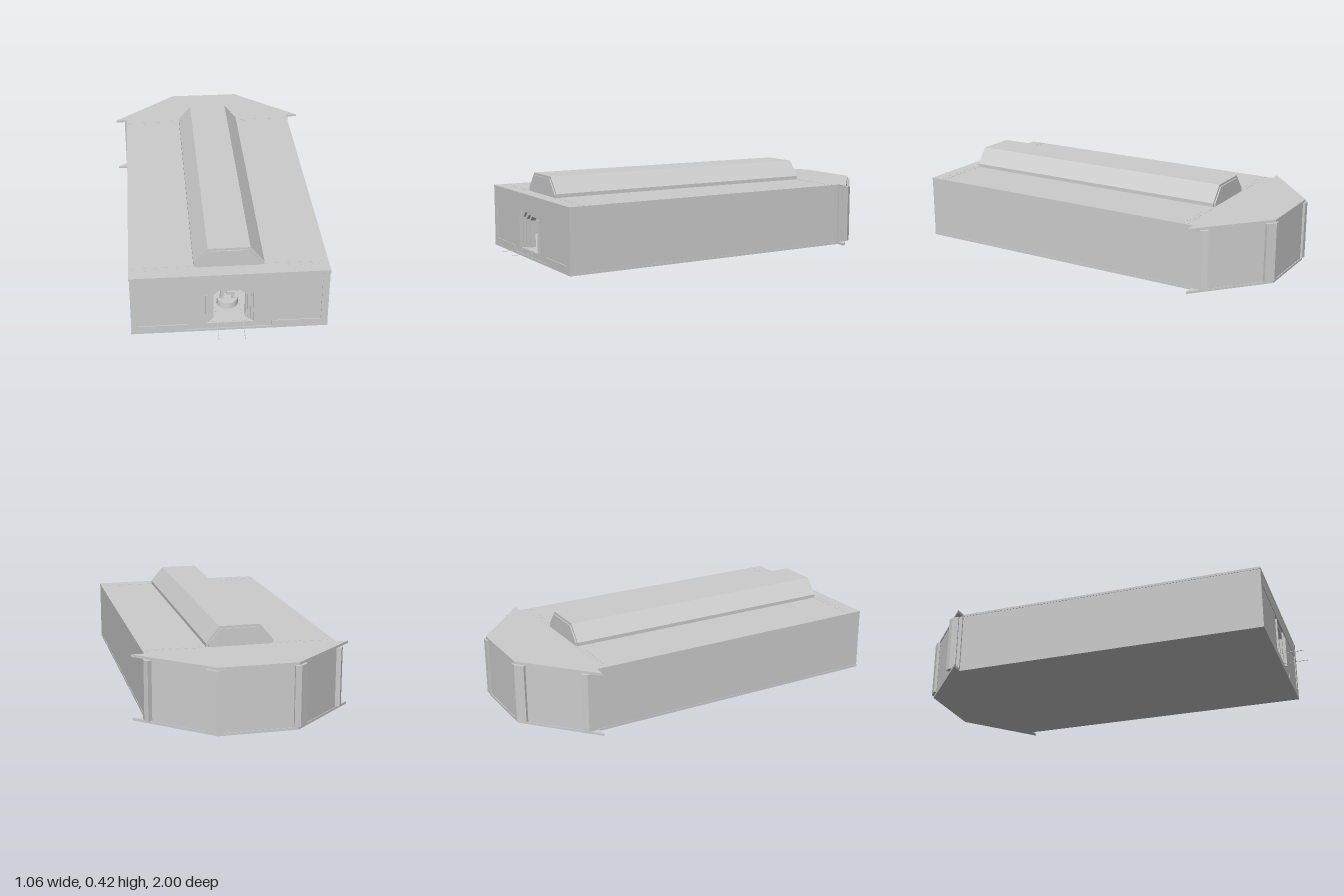
import * as THREE from 'three';

const grey = new THREE.MeshStandardMaterial({ color: 0xcccccc });
grey.name = 'light grey';

export function createModel() {
  const root = new THREE.Group();
  root.name = 'hall';

  const add = (name, geo, x = 0, y = 0, z = 0) => {
    const m = new THREE.Mesh(geo, grey);
    m.name = name;
    m.position.set(x, y, z);
    root.add(m);
    return m;
  };
  // Box given by its limits
  const box = (name, x0, x1, y0, y1, z0, z1) =>
    add(name, new THREE.BoxGeometry(x1 - x0, y1 - y0, z1 - z0), (x0 + x1) / 2, (y0 + y1) / 2, (z0 + z1) / 2);
  const pts = (list) => list.map(([a, b]) => new THREE.Vector2(a, b));
  // Right half of an outline, mirrored into a closed loop
  const sym = (half) => pts([...half, ...half.map(([x, y]) => [-x, y]).reverse()]);
  // Upright profile in x,y drawn out from z0 to z1, with an optional opening
  const alongZ = (name, outer, z0, z1, hole) => {
    const s = new THREE.Shape(outer);
    if (hole) s.holes.push(new THREE.Path(hole));
    return add(name, new THREE.ExtrudeGeometry(s, { depth: z1 - z0, bevelEnabled: false }), 0, 0, z0);
  };
  // Plan outline in x,z raised from y0 to y1
  const upright = (name, plan, y0, y1) => {
    const s = new THREE.Shape(plan.map((p) => new THREE.Vector2(p.x, -p.y)));
    const g = new THREE.ExtrudeGeometry(s, { depth: y1 - y0, bevelEnabled: false });
    return add(name, g.rotateX(-Math.PI / 2), 0, y0, 0);
  };

  // Floor and roof plates with the flared, angled rear end
  const plate = sym([[0.47, 0.88], [0.47, -0.695], [0.53, -0.695], [0.19, -0.992]]);
  upright('floorPlate', plate, 0, 0.012);
  upright('roofPlate', plate, 0.31, 0.322);
  box('hallFloor', -0.45, 0.45, 0.012, 0.04, -0.68, 0.87);

  // Long side walls and faceted rear wall
  for (const s of [-1, 1]) {
    box('sideWall', Math.min(s * 0.45, s * 0.468), Math.max(s * 0.45, s * 0.468), 0.012, 0.31, -0.7, 0.88);
    const mir = (list) => pts(list.map(([x, z]) => [s * x, z]));
    upright('sideCornerPost', mir([[0.45, -0.715], [0.483, -0.715], [0.483, -0.75], [0.468, -0.775], [0.445, -0.76]]), 0.015, 0.308);
    upright('sideRib', mir([[0.45, -0.695], [0.476, -0.695], [0.476, -0.72], [0.45, -0.72]]), 0.012, 0.31);
    upright('rearCornerPost', mir([[0.23, -0.955], [0.237, -0.967], [0.198, -1], [0.168, -1], [0.168, -0.98]]), 0.015, 0.308);
  }
  upright('rearWall', sym([[0.468, -0.69], [0.468, -0.744], [0.19, -0.988]]), 0.012, 0.31);

  // Front wall with a chamfered doorway
  const arch = (w, top, cut, foot) => sym([[w, foot], [w, top - cut], [w - cut, top]]);
  const wall = sym([[0.468, 0.012], [0.468, 0.31]]);
  alongZ('frontWall', wall, 0.862, 0.876, sym([[0.112, 0.042], [0.112, 0.24]]));
  box('frontLintel', -0.435, 0.435, 0.24, 0.31, 0.876, 0.879);
  for (const s of [-1, 1]) {
    const span = (name, a, b, y0, y1) => box(name, Math.min(s * a, s * b), Math.max(s * a, s * b), y0, y1, 0.876, 0.88);
    span('frontPost', 0.435, 0.468, 0.012, 0.31);
    span('frontSill', 0.2, 0.435, 0.012, 0.042);
    box('doorJambEdge', s * 0.113 - 0.002, s * 0.113 + 0.002, 0.045, 0.21, 0.87, 0.885);
    box('track', s * 0.062 - 0.0015, s * 0.062 + 0.0015, 0.04, 0.042, 0.6, 1);
  }

  // Stepped arches of the entrance
  alongZ('outerArch', sym([[0.112, 0.042], [0.112, 0.24]]), 0.855, 0.868, arch(0.1, 0.227, 0.028, 0.043));
  alongZ('middleArch', arch(0.102, 0.229, 0.028, 0.042), 0.84, 0.857, arch(0.086, 0.214, 0.026, 0.043));
  alongZ('innerArch', arch(0.088, 0.216, 0.026, 0.042), 0.815, 0.842, arch(0.076, 0.204, 0.024, 0.043));

  // Machine standing inside the entrance
  add('machineBase', new THREE.CylinderGeometry(0.05, 0.054, 0.03, 12), 0, 0.057, 0.72);
  for (const s of [-1, 1]) {
    const leg = box('machineLeg', s * 0.026 - 0.008, s * 0.026 + 0.008, 0.07, 0.115, 0.71, 0.73);
    leg.rotation.z = s * 0.12;
  }
  box('machineBody', -0.032, 0.032, 0.112, 0.155, 0.69, 0.74);
  box('machineArm', -0.008, 0.034, 0.122, 0.136, 0.74, 0.765);
  alongZ('machineHood', sym([[0.064, 0.172], [0.064, 0.186], [0.05, 0.204]]), 0.68, 0.75);
  box('machineNeck', -0.02, 0.02, 0.155, 0.174, 0.7, 0.73);
  box('innerRail', -0.2, 0.2, 0.104, 0.11, 0.6, 0.606);

  // Raised roof lantern: outer shell with a core showing at both ends
  alongZ('lanternShell', sym([[0.166, 0.321], [0.166, 0.34], [0.1, 0.42]]), -0.65, 0.805,
    sym([[0.153, 0.3215], [0.153, 0.337], [0.094, 0.407]]));
  alongZ('lanternCore', sym([[0.155, 0.321], [0.155, 0.336], [0.095, 0.408]]), -0.656, 0.81);

  // Roof seams and rows of rivets
  const rivet = new THREE.BoxGeometry(0.005, 0.002, 0.005);
  for (const z of [-0.658, 0.8]) {
    for (const s of [-1, 1]) {
      box('roofSeam', s * 0.318 - 0.149, s * 0.318 + 0.149, 0.322, 0.3228, z - 0.002, z + 0.002);
      for (let i = 0; i < 10; i++) add('roofRivet', rivet, s * (0.19 + i * 0.029), 0.3225, z + 0.02);
    }
  }
  return root;
}
